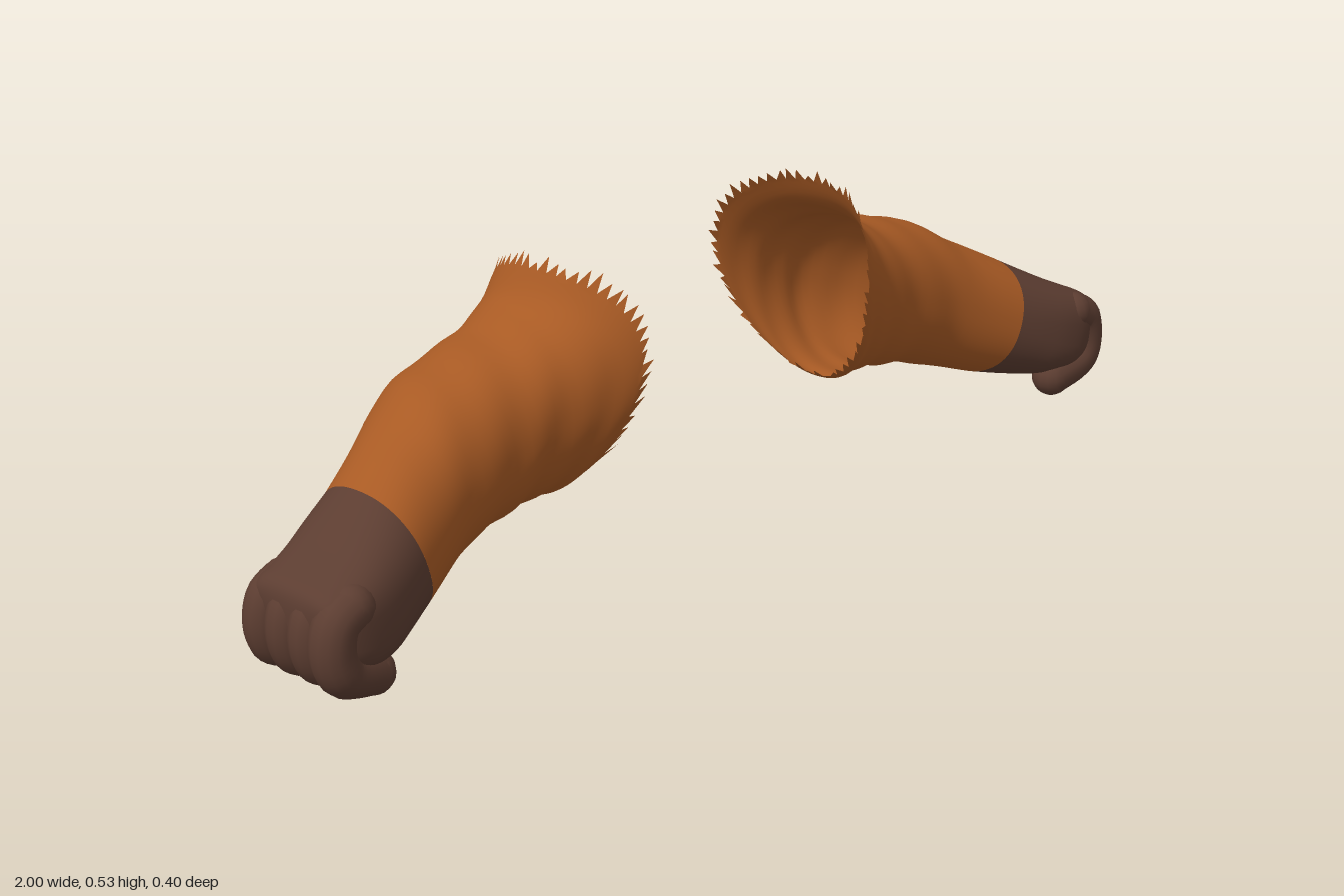
import * as THREE from 'three';

// Cross-sections: top x, top y, bottom x, bottom y, front z, back z,
// how far the sides reach toward the body, side lift, squareness (1 = oval)
const SLEEVE = [
  [0.35, 0.51, 0.362, 0.14, 0.165, -0.19, 0.065, 0.05, 1],
  [0.372, 0.472, 0.376, 0.133, 0.146, -0.18, 0.04, 0.035, 0.97],
  [0.41, 0.443, 0.4, 0.135, 0.126, -0.171, 0.015, 0.02, 0.95],
  [0.46, 0.42, 0.45, 0.132, 0.113, -0.172, 0, 0.01, 0.93],
  [0.54, 0.4, 0.5, 0.125, 0.11, -0.172, 0, 0, 0.92],
  [0.62, 0.375, 0.57, 0.113, 0.113, -0.15, 0, 0, 0.92],
  [0.7, 0.33, 0.64, 0.093, 0.126, -0.112, 0, 0, 0.92],
  [0.8, 0.278, 0.73, 0.066, 0.16, -0.072, 0, 0, 0.9],
];
const HAND = [
  [0.8, 0.278, 0.73, 0.066, 0.16, -0.072, 0, 0, 0.9],
  [0.85, 0.25, 0.79, 0.052, 0.18, -0.058, 0, 0, 0.82],
  [0.9, 0.223, 0.84, 0.045, 0.194, -0.038, 0, 0, 0.7],
  [0.945, 0.202, 0.895, 0.045, 0.199, -0.022, 0, 0, 0.6],
  [0.972, 0.188, 0.94, 0.058, 0.19, -0.012, 0, 0, 0.55],
  [0.983, 0.165, 0.968, 0.078, 0.17, 0.008, 0, 0, 0.55],
  [0.984, 0.12, 0.984, 0.12, 0.09, 0.09, 0, 0, 1],
];

// Smooth blend between neighbouring sections
function sectionAt(list, t) {
  const f = t * (list.length - 1);
  const i = Math.min(Math.floor(f), list.length - 2);
  const u = f - i;
  const at = (k) => list[Math.max(0, Math.min(list.length - 1, k))];
  return list[i].map((p1, c) => {
    const p0 = at(i - 1)[c], p2 = at(i + 1)[c], p3 = at(i + 2)[c];
    return p1 + 0.5 * u * (p2 - p0 + u * (2 * p0 - 5 * p1 + 4 * p2 - p3 + u * (3 * (p1 - p2) + p3 - p0)));
  });
}

function ringFrom(s, segments) {
  const ring = [];
  for (let j = 0; j < segments; j++) {
    const a = (j / segments) * Math.PI * 2;
    const bend = (v) => Math.sign(v) * Math.abs(v) ** Math.max(s[8], 0.4);
    const c = bend(Math.cos(a)), h = (bend(Math.sin(a)) + 1) / 2;
    const x = s[2] + (s[0] - s[2]) * h - s[6] * c * c;
    const y = s[3] + (s[1] - s[3]) * h + s[7] * c * c;
    ring.push(new THREE.Vector3(x, y, (s[4] + s[5]) / 2 + ((s[4] - s[5]) / 2) * c));
  }
  return ring;
}

// Skin over a row of rings; side -1 builds the mirrored arm
function skin(rings, side) {
  const n = rings[0].length, pos = [], index = [];
  rings.forEach((r) => r.forEach((p) => pos.push(p.x * side, p.y, p.z)));
  for (let i = 0; i < rings.length - 1; i++) {
    for (let j = 0; j < n; j++) {
      const a = i * n + j, b = a + n, c = i * n + ((j + 1) % n), d = c + n;
      if (side > 0) index.push(a, b, c, c, b, d);
      else index.push(a, c, b, c, d, b);
    }
  }
  const g = new THREE.BufferGeometry();
  g.setAttribute('position', new THREE.Float32BufferAttribute(pos, 3));
  g.setIndex(index);
  g.computeVertexNormals();
  return g;
}

function loftRings(list, steps, segments) {
  return Array.from({ length: steps + 1 }, (_, i) => ringFrom(sectionAt(list, i / steps), segments));
}

function sleeveGeometry(side) {
  let seed = 7;
  const random = () => (seed = (seed * 16807) % 2147483647) / 2147483647;
  const rings = loftRings(SLEEVE, 28, 112);
  // gentle muscle undulation, fading out at both ends
  rings.forEach((ring, i) => ring.forEach((p, j) => {
    const a = (j / ring.length) * Math.PI * 2;
    const fade = Math.sin((i / 28) * Math.PI);
    const w = 0.004 * fade * Math.sin(3 * a + i * 0.5) * Math.cos(i * 0.6);
    p.y += w * Math.sin(a);
    p.z += w * Math.cos(a);
  }));
  // ragged fur points along the open edge
  const tips = rings[0].map((p, j) => {
    if (j % 2 === 0) return p.clone();
    const out = p.clone().sub(rings[2][j]).normalize();
    return p.clone().addScaledVector(out, 0.014 + 0.02 * random())
      .add(new THREE.Vector3(0, (random() - 0.5) * 0.012, (random() - 0.5) * 0.012));
  });
  return skin([tips, ...rings], side);
}

function addFinger(group, k, side, material) {
  const z = 0.165 - k * 0.052, index = k === 0;
  const r = index ? 0.037 : 0.033;
  const points = [
    [0.925, 0.163], [0.956, 0.145], [0.965, 0.1], [0.95, 0.064],
    index ? [0.88, 0.038] : [0.91, 0.053],
  ].map(([x, y], i) => new THREE.Vector3(x * side, y, index && i === 4 ? z - 0.012 : z));
  const finger = new THREE.Group();
  finger.name = ['indexFinger', 'middleFinger', 'ringFinger', 'littleFinger'][k];
  const curve = new THREE.CatmullRomCurve3(points);
  finger.add(new THREE.Mesh(new THREE.TubeGeometry(curve, 20, r, 14), material));
  for (const p of [points[0], points[4]]) {
    const end = new THREE.Mesh(new THREE.SphereGeometry(r, 14, 10), material);
    end.position.copy(p);
    finger.add(end);
  }
  finger.children.forEach((m) => { m.name = 'fingerSegment'; });
  group.add(finger);
}

export function createModel() {
  const fur = new THREE.MeshStandardMaterial({ color: 0xa85a24, side: THREE.DoubleSide });
  fur.name = 'brownFur';
  const skinDark = new THREE.MeshStandardMaterial({ color: 0x5c3d31 });
  skinDark.name = 'darkSkin';

  const model = new THREE.Group();
  model.name = 'pairOfArms';
  for (const side of [1, -1]) {
    const arm = new THREE.Group();
    arm.name = side > 0 ? 'leftArm' : 'rightArm';

    const sleeve = new THREE.Mesh(sleeveGeometry(side), fur);
    sleeve.name = 'furryForearm';
    arm.add(sleeve);

    // fist: palm block with four curled fingers
    const fist = new THREE.Group();
    fist.name = 'fist';
    const palm = new THREE.Mesh(skin(loftRings(HAND, 24, 56), side), skinDark);
    palm.name = 'palm';
    fist.add(palm);
    for (let k = 0; k < 4; k++) addFinger(fist, k, side, skinDark);
    arm.add(fist);
    model.add(arm);
  }
  return model;
}
